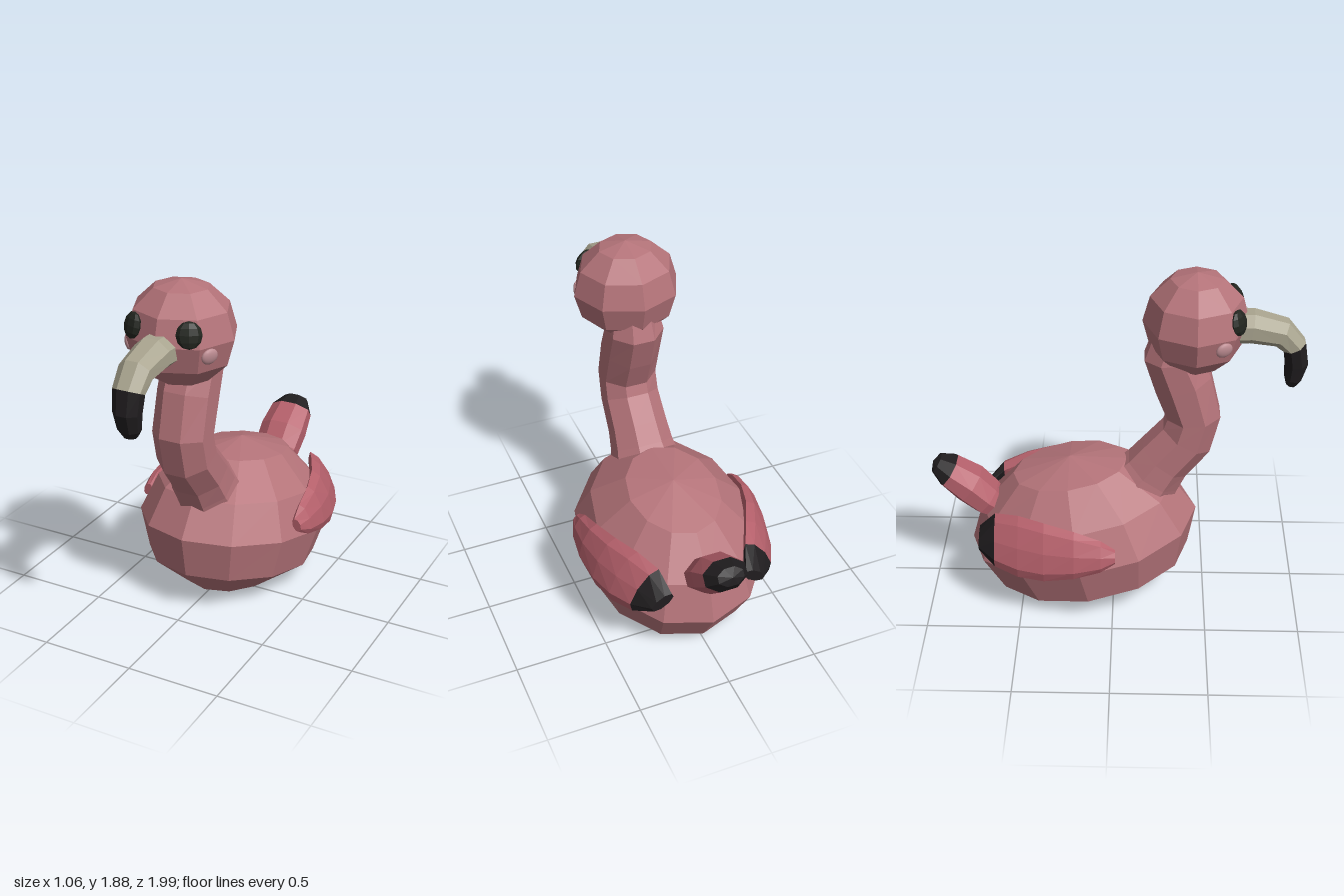
import * as THREE from 'three';

const V = (x, y, z) => new THREE.Vector3(x, y, z);
const mat = (color, flat = true) => new THREE.MeshStandardMaterial({ color, flatShading: flat, roughness: 0.8 });
const PINK = mat(0xb5747a), ROSE = mat(0xb5606b), BLACK = mat(0x201d1f),
  HORN = mat(0xa9a48f), EYE = mat(0x22251f), BLUSH = mat(0xbd8c92, false);

// Ring of n points around c, spanned by the half-axes u and v
function ring(c, u, v, n, phase = 0) {
  return Array.from({ length: n }, (_, i) => {
    const a = ((i + phase) / n) * Math.PI * 2;
    return c.clone().addScaledVector(u, Math.sin(a)).addScaledVector(v, Math.cos(a));
  });
}

// Closed skin over a row of rings; each end closes on a pole (ring centre by default)
function loft(rings, startPole, endPole) {
  const n = rings[0].length, tris = [];
  const mid = r => r.reduce((s, p) => s.add(p), V(0, 0, 0)).divideScalar(n);
  const first = rings[0], last = rings[rings.length - 1];
  const p0 = startPole || mid(first), p1 = endPole || mid(last);
  for (let i = 0; i < n; i++) {
    const j = (i + 1) % n;
    for (let k = 0; k < rings.length - 1; k++) {
      const a = rings[k], b = rings[k + 1];
      tris.push([a[i], a[j], b[j]], [a[i], b[j], b[i]]);
    }
    tris.push([p0, first[j], first[i]], [p1, last[i], last[j]]);
  }
  // Turn the faces outward when the enclosed volume is negative
  const volume = tris.reduce((s, [a, b, c]) => s + a.dot(b.clone().cross(c)), 0);
  const pts = tris.flatMap(([a, b, c]) => (volume < 0 ? [a, c, b] : [a, b, c]));
  const g = new THREE.BufferGeometry().setFromPoints(pts);
  g.computeVertexNormals();
  return g;
}

// Rings along a path in the x = 0 plane; stations are [z, y, half width, half depth]
function pathRings(stations, n, phase) {
  return stations.map(([z, y, rx, rn], i) => {
    const a = stations[Math.max(i - 1, 0)], b = stations[Math.min(i + 1, stations.length - 1)];
    const t = V(0, b[1] - a[1], b[0] - a[0]).normalize();
    return ring(V(0, y, z), V(rx, 0, 0), V(0, -t.z, t.y).multiplyScalar(rn), n, phase);
  });
}

export function createModel() {
  const model = new THREE.Group();
  const add = (name, geometry, material, parent = model) => {
    const m = new THREE.Mesh(geometry, material);
    m.name = name;
    parent.add(m);
    return m;
  };

  // Body: tilted oval rings, [front z, front y, back z, back y, half width]
  const bodyRings = [
    [0.20, 0.03, -0.45, 0.01, 0.26],
    [0.41, 0.23, -0.67, 0.04, 0.44],
    [0.45, 0.46, -0.79, 0.24, 0.50],
    [0.32, 0.64, -0.73, 0.46, 0.42],
    [0.07, 0.775, -0.55, 0.67, 0.245],
  ].map(([zf, yf, zb, yb, w]) =>
    ring(V(0, (yf + yb) / 2, (zf + zb) / 2), V(w, 0, 0), V(0, (yf - yb) / 2, (zf - zb) / 2), 12));
  add('body', loft(bodyRings, V(0, 0, -0.15), V(0, 0.785, -0.24)), PINK);

  // Neck: eight-sided S-curve, flared at the base
  add('neck', loft(pathRings([
    [0.14, 0.60, 0.20, 0.20],
    [0.21, 0.70, 0.175, 0.17],
    [0.27, 0.79, 0.165, 0.155],
    [0.385, 0.93, 0.16, 0.152],
    [0.42, 1.065, 0.158, 0.15],
    [0.36, 1.265, 0.157, 0.162],
    [0.30, 1.42, 0.155, 0.155],
    [0.335, 1.56, 0.12, 0.13],
  ], 8, 0.5)), PINK);

  // Head
  const head = add('head', new THREE.SphereGeometry(1, 8, 6), PINK);
  head.scale.set(0.288, 0.27, 0.272);
  head.position.set(0, 1.612, 0.415);

  // Beak: pale base bending down into a dark tip
  const beak = pathRings([
    [0.60, 1.585, 0.105, 0.09],
    [0.70, 1.588, 0.102, 0.088],
    [0.855, 1.553, 0.09, 0.078],
    [0.922, 1.48, 0.082, 0.065],
    [0.938, 1.38, 0.073, 0.063],
    [0.925, 1.29, 0.062, 0.047],
    [0.918, 1.252, 0.04, 0.028],
  ], 8, 0.5);
  add('beakBase', loft(beak.slice(0, 4)), HORN);
  add('beakTip', loft(beak.slice(3), null, V(0, 1.238, 0.917)), BLACK);

  // Tail: plump feather rising backwards, with a dark end
  const tail = pathRings([
    [-0.62, 0.45, 0.10, 0.06],
    [-0.70, 0.515, 0.135, 0.095],
    [-0.79, 0.60, 0.14, 0.105],
    [-0.90, 0.685, 0.125, 0.085],
    [-0.965, 0.73, 0.075, 0.05],
  ], 8, 0.5);
  add('tail', loft(tail.slice(0, 4)), ROSE);
  add('tailTip', loft(tail.slice(3), null, V(0, 0.74, -0.985)), BLACK);

  for (const side of [1, -1]) {
    const label = side > 0 ? 'left' : 'right';

    // Wing: flat slanted sections, [z, x, y, lean inward, half height, half thickness]
    const wing = [
      [0.015, 0.46, 0.455, 0.015, 0.035, 0.022],
      [-0.06, 0.468, 0.46, 0.03, 0.08, 0.034],
      [-0.20, 0.468, 0.465, 0.045, 0.12, 0.04],
      [-0.36, 0.437, 0.46, 0.06, 0.145, 0.045],
      [-0.50, 0.385, 0.458, 0.075, 0.145, 0.047],
      [-0.63, 0.32, 0.452, 0.075, 0.12, 0.045],
      [-0.72, 0.26, 0.42, 0.05, 0.045, 0.035],
    ].map(([z, x, y, lean, h, t]) =>
      ring(V(side * x, y, z), V(side * t, t * 0.4, 0), V(-side * lean, h, 0), 8));
    add(label + 'Wing', loft(wing.slice(0, 6)), ROSE);
    add(label + 'WingTip', loft(wing.slice(5)), BLACK);

    // Eye: faceted disc lying on the head
    const eye = add(label + 'Eye', new THREE.SphereGeometry(1, 8, 6), EYE);
    eye.scale.set(0.064, 0.068, 0.028);
    eye.position.set(side * 0.155, 1.683, 0.622);
    eye.lookAt(side * 0.70, 1.95, 1.62);

    // Cheek: small smooth blush spot
    const cheek = add(label + 'Cheek', new THREE.SphereGeometry(1, 16, 10), BLUSH);
    cheek.scale.set(0.046, 0.041, 0.018);
    cheek.position.set(side * 0.225, 1.565, 0.55);
    cheek.lookAt(side * 1.1, 1.42, 1.0);
  }
  return model;
}
